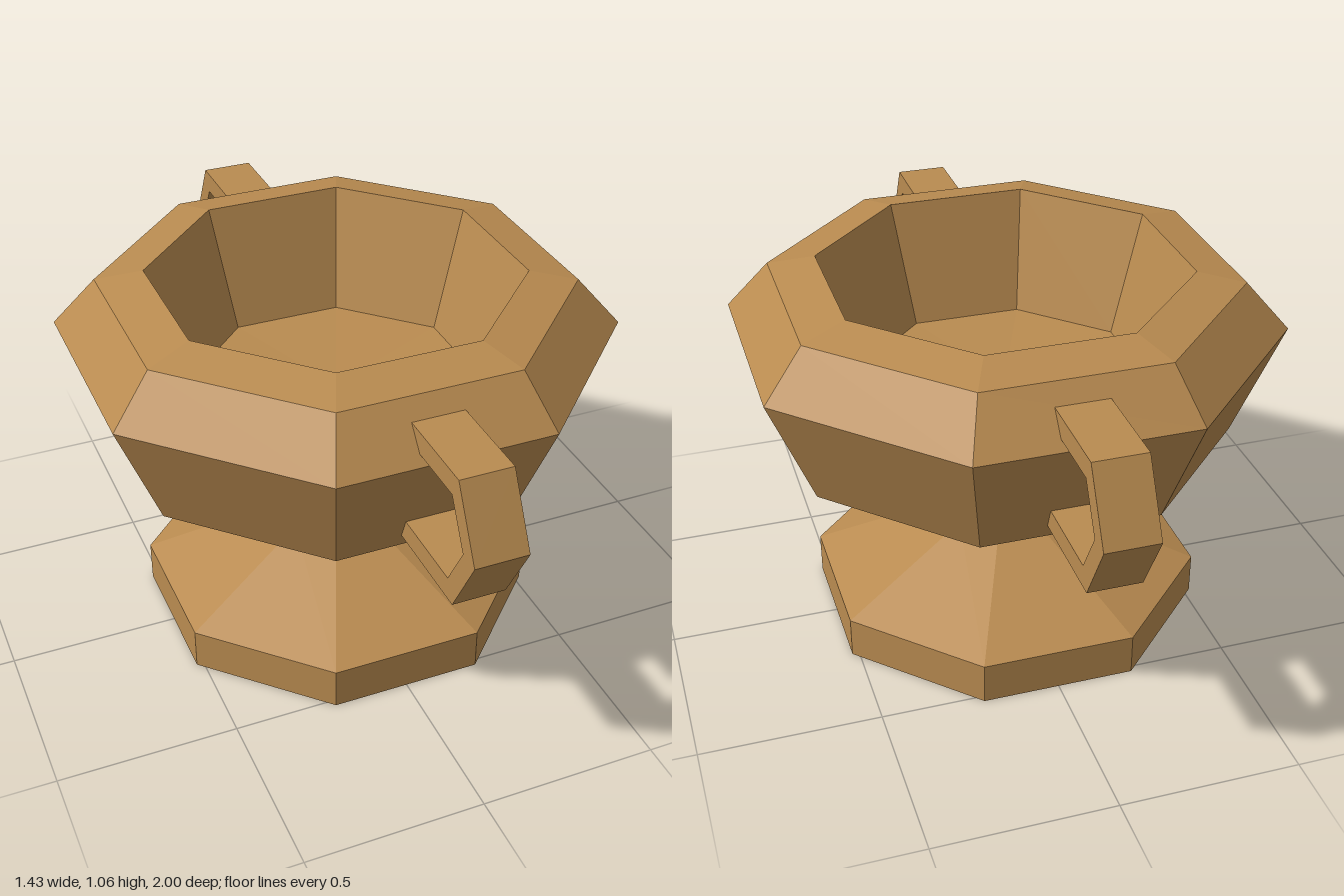
import * as THREE from 'three';

const SIDES = 8;

export function createModel() {
  const group = new THREE.Group();
  const bronze = new THREE.MeshStandardMaterial({ color: 0xb98b50, flatShading: true });
  bronze.name = 'bronze';

  const add = (name, geometry) => {
    const mesh = new THREE.Mesh(geometry, bronze);
    mesh.name = name;
    group.add(mesh);
    return mesh;
  };

  // Octagonal turned part; profile is [distance to flat side, height]
  const turned = (name, profile) => {
    const k = 1 / Math.cos(Math.PI / SIDES);
    const points = profile.map(([r, y]) => new THREE.Vector2(r * k, y));
    return add(name, new THREE.LatheGeometry(points, SIDES, Math.PI / SIDES));
  };

  turned('foot', [[0, 0], [0.52, 0], [0.52, 0.12], [0.155, 0.283]]);
  turned('stem', [[0.155, 0.283], [0.155, 0.442]]);
  // Outer wall, rim, inner wall and slightly dished floor
  turned('bowl', [
    [0.155, 0.442], [0.592, 0.575], [0.717, 0.9], [0.605, 1.033],
    [0.48, 1.06], [0.38, 0.713], [0, 0.695],
  ]);

  // Angular handles at front and back, ends sunk into the bowl wall
  const outline = [
    [0.58, 0.985], [0.9, 0.985], [1, 0.8], [0.9, 0.617], [0.58, 0.617],
    [0.58, 0.677], [0.87, 0.677], [0.94, 0.8], [0.87, 0.925], [0.58, 0.925],
  ];
  const shape = new THREE.Shape(outline.map(([z, y]) => new THREE.Vector2(z, y)));
  const handle = new THREE.ExtrudeGeometry(shape, { depth: 0.144, bevelEnabled: false });
  handle.translate(0, 0, -0.072).rotateY(-Math.PI / 2);
  add('frontHandle', handle);
  add('backHandle', handle).rotation.y = Math.PI;

  return group;
}
